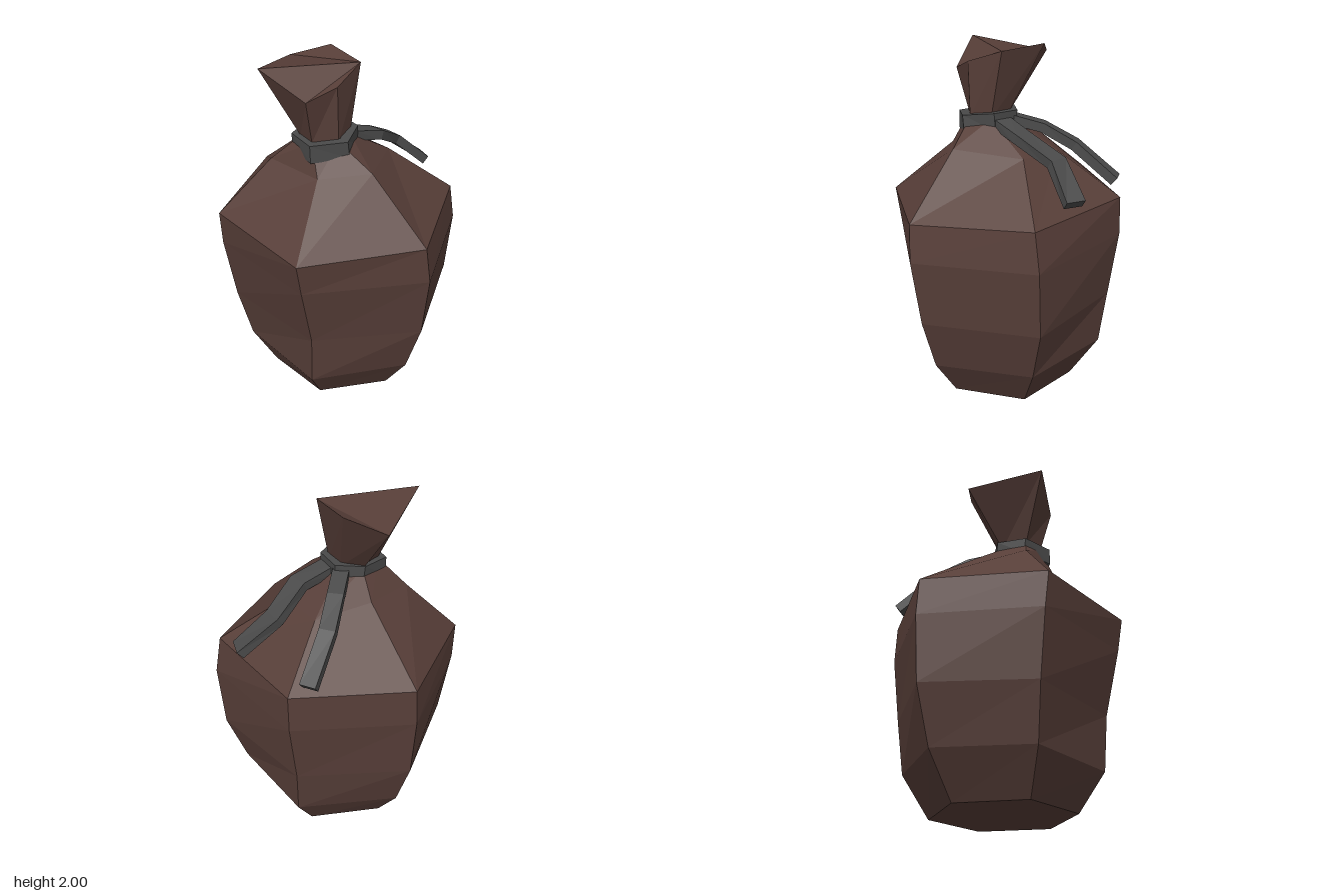
import * as THREE from 'three';

// Skin a list of cross-sections (each a loop of Vector3) into a faceted surface.
function loft(rings, closed = false, capFrom = 0) {
  const pos = [];
  const tri = (...pts) => pts.forEach((p) => pos.push(p.x, p.y, p.z));
  const n = rings[0].length;
  const count = closed ? rings.length : rings.length - 1;
  for (let i = 0; i < count; i++) {
    const lo = rings[i], hi = rings[(i + 1) % rings.length];
    for (let j = 0; j < n; j++) {
      const k = (j + 1) % n;
      tri(lo[j], lo[k], hi[k]);
      tri(lo[j], hi[k], hi[j]);
    }
  }
  if (!closed) {
    const first = rings[0], last = rings[rings.length - 1];
    for (let j = 1; j < n - 1; j++) {
      tri(first[0], first[j + 1], first[j]);
      const a = capFrom, b = (capFrom + j) % n, c = (capFrom + j + 1) % n;
      tri(last[a], last[b], last[c]);
    }
  }
  const geo = new THREE.BufferGeometry();
  geo.setAttribute('position', new THREE.Float32BufferAttribute(pos, 3));
  geo.computeVertexNormals();
  return geo;
}

// Sweep a rectangular section along a path, kept level sideways.
function strap(path, halfWidth, halfHeight, closed = false) {
  const pts = path.map((p) => new THREE.Vector3(...p));
  const n = pts.length;
  const up = new THREE.Vector3(0, 1, 0);
  const rings = pts.map((p, i) => {
    const prev = closed ? pts[(i + n - 1) % n] : pts[Math.max(i - 1, 0)];
    const next = closed ? pts[(i + 1) % n] : pts[Math.min(i + 1, n - 1)];
    const t = next.clone().sub(prev).normalize();
    const s = up.clone().cross(t).normalize();
    const u = t.clone().cross(s);
    return [[-1, -1], [1, -1], [1, 1], [-1, 1]].map(([a, b]) =>
      p.clone().addScaledVector(s, a * halfWidth).addScaledVector(u, b * halfHeight));
  });
  return loft(rings, closed);
}

export function createModel() {
  const group = new THREE.Group();
  const cloth = new THREE.MeshStandardMaterial({ color: 0x573e38, flatShading: true });
  const cord = new THREE.MeshStandardMaterial({ color: 0x4a4a4a, flatShading: true });
  const add = (name, geo, mat) => {
    const mesh = new THREE.Mesh(geo, mat);
    mesh.name = name;
    group.add(mesh);
  };

  // Each fold line of the sack runs from the floor to the shoulder: [x, y, z]
  const folds = [
    [[-0.06, 0, 0.41], [-0.085, 0.23, 0.56], [-0.095, 0.54, 0.655], [-0.12, 0.92, 0.7], [-0.135, 1.13, 0.675], [-0.12, 1.46, 0.31]],
    [[0.34, 0, 0.27], [0.46, 0.25, 0.375], [0.545, 0.56, 0.44], [0.55, 0.94, 0.47], [0.51, 1.16, 0.455], [0.25, 1.43, 0.17]],
    [[0.41, 0, -0.14], [0.57, 0.26, -0.19], [0.6, 0.57, -0.22], [0.65, 0.96, -0.23], [0.645, 1.18, -0.225], [0.3, 1.43, -0.1]],
    [[0.08, 0, -0.41], [0.12, 0.25, -0.57], [0.14, 0.57, -0.67], [0.15, 0.95, -0.695], [0.15, 1.17, -0.68], [0.04, 1.49, -0.27]],
    [[-0.3, 0, -0.28], [-0.4, 0.24, -0.38], [-0.45, 0.55, -0.44], [-0.5, 0.93, -0.47], [-0.52, 1.14, -0.46], [-0.28, 1.45, -0.26]],
    [[-0.37, 0, 0.13], [-0.51, 0.22, 0.18], [-0.53, 0.54, 0.2], [-0.62, 0.92, 0.21], [-0.655, 1.11, 0.21], [-0.3, 1.43, 0.08]],
  ];
  const toVec = (p) => new THREE.Vector3(...p);
  const neck = [[-0.15, 1.6, 0.11], [-0.02, 1.6, 0.09], [0.01, 1.6, -0.02],
    [-0.05, 1.6, -0.13], [-0.2, 1.6, -0.11], [-0.24, 1.6, 0]].map(toVec);
  const mouth = [[-0.16, 1.91, 0.11], [0.06, 1.98, 0.1], [0.16, 2, -0.17],
    [0.05, 1.93, -0.375], [-0.38, 2, -0.23], [-0.31, 1.85, 0.02]].map(toVec);
  const bodyRings = folds[0].map((_, i) => folds.map((fold) => toVec(fold[i])));
  add('sackBody', loft([...bodyRings, neck]), cloth);

  // Gathered cloth flaring above the tie
  add('sackTop', loft([neck, mouth], false, 1), cloth);

  // Tie around the neck with two loose ends
  add('neckTie', strap([[-0.26, 1.555, 0.02], [-0.14, 1.57, 0.145], [0, 1.59, 0.09],
    [0.04, 1.59, -0.03], [-0.04, 1.585, -0.13], [-0.2, 1.56, -0.13]], 0.032, 0.05, true), cord);
  add('frontTieEnd', strap([[0.02, 1.58, 0.05], [0.2, 1.53, 0.11], [0.41, 1.42, 0.09],
    [0.59, 1.25, 0.2]], 0.055, 0.027), cord);
  add('backTieEnd', strap([[0.02, 1.59, -0.04], [0.18, 1.54, -0.14], [0.34, 1.44, -0.23],
    [0.57, 1.25, -0.305]], 0.045, 0.027), cord);
  return group;
}
